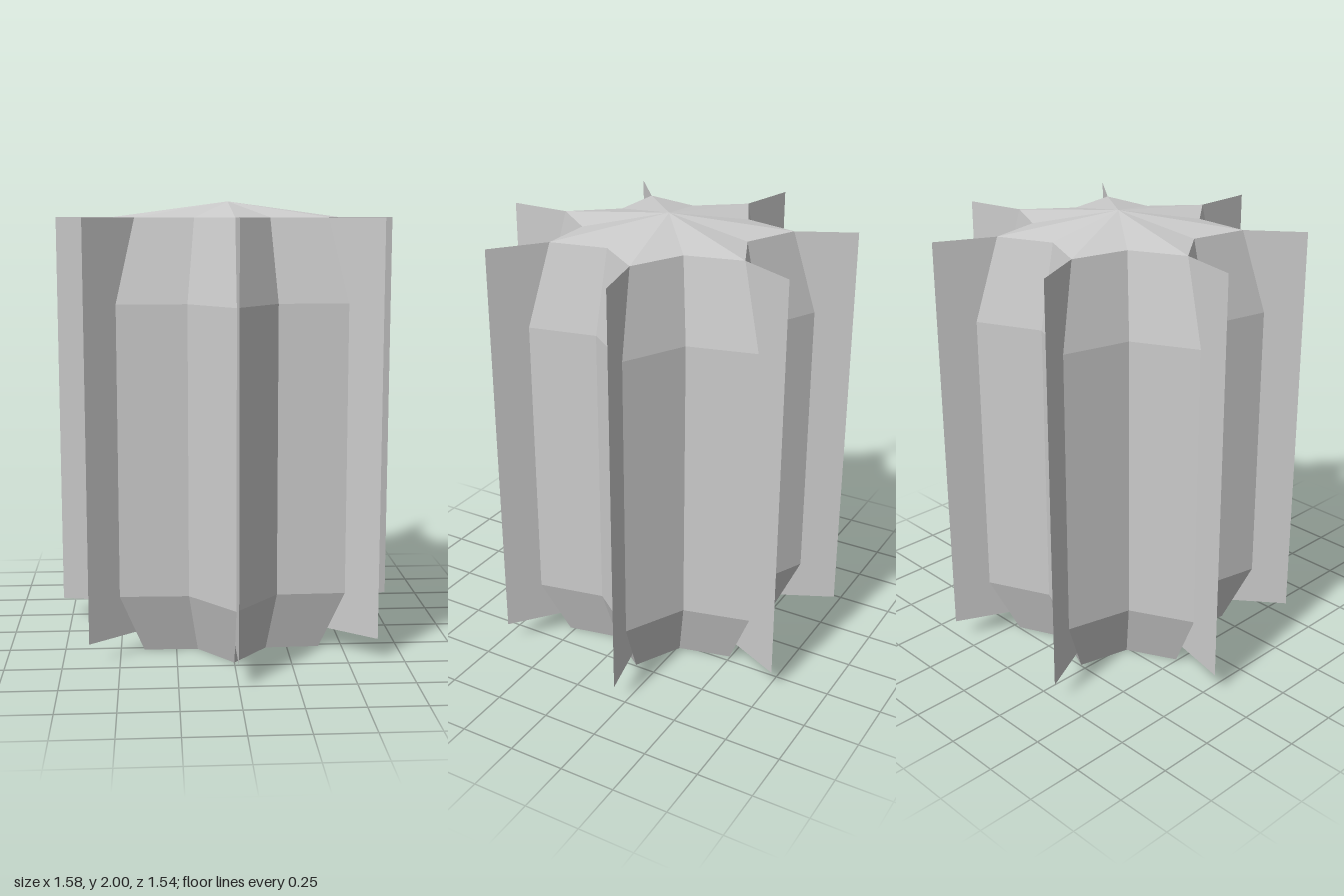
import * as THREE from 'three';

const RIBS = 7;
const VALLEY = 0.703; // valley radius relative to rib radius

export function createModel() {
  const model = new THREE.Group();
  model.name = 'cactus';
  const material = new THREE.MeshStandardMaterial({
    color: 0xcccccc, flatShading: true, side: THREE.DoubleSide,
  });

  // Star-shaped trunk: a lathe whose every second column is drawn in; open below
  const profile = [[0.505, 0], [0.64, 0.275], [0.64, 1.565], [0.535, 1.93], [0, 2]]
    .map(([r, y]) => new THREE.Vector2(r, y));
  const trunkGeometry = new THREE.LatheGeometry(profile, RIBS * 2);
  const pos = trunkGeometry.attributes.position;
  for (let i = 0; i < pos.count; i++) {
    const column = Math.floor(i / profile.length);
    if (column % 2) pos.setXYZ(i, pos.getX(i) * VALLEY, pos.getY(i), pos.getZ(i) * VALLEY);
  }
  trunkGeometry.computeVertexNormals();
  const trunk = new THREE.Mesh(trunkGeometry, material);
  trunk.name = 'ribbedTrunk';
  model.add(trunk);

  // Thin upright spine sheet standing out from each rib
  const inner = 0.5, outer = 0.81, bottom = 0.095, top = 1.93;
  const sheet = new THREE.PlaneGeometry(outer - inner, top - bottom)
    .rotateY(-Math.PI / 2)
    .translate(0, (top + bottom) / 2, (inner + outer) / 2);
  for (let i = 0; i < RIBS; i++) {
    const spines = new THREE.Mesh(sheet, material);
    spines.name = `spineSheet${i + 1}`;
    spines.rotation.y = (i / RIBS) * Math.PI * 2;
    model.add(spines);
  }

  // Centre the seven-sided footprint
  for (const part of model.children) part.position.z = -0.04;
  return model;
}
